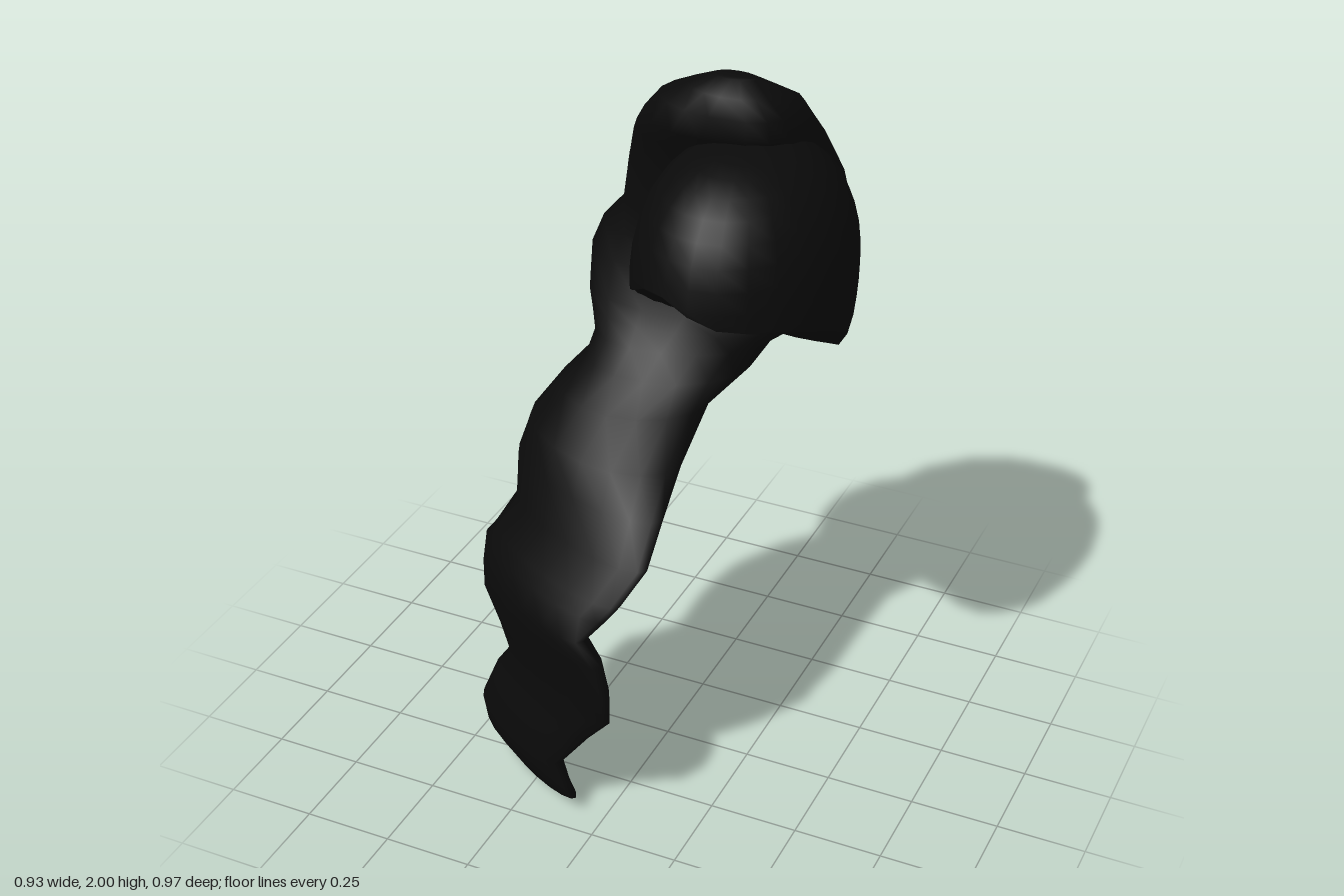
import * as THREE from 'three';
import { mergeVertices } from 'three/addons/utils/BufferGeometryUtils.js';

const SIDES = 16;

// Horizontal cross-sections, top to bottom:
// y, left x, right x, front z, back z, skew, roundness of the right half (1 = elliptical)
const gatheredHair = [
  [2.0, 0.05, 0.17, -0.14, -0.2, 0, 1],
  [1.97, -0.02, 0.22, -0.09, -0.25, 0, 0.8],
  [1.93, -0.1, 0.275, -0.05, -0.31, 0, 0.65],
  [1.86, -0.16, 0.28, -0.06, -0.38, -0.1, 0.65],
  [1.8, -0.2, 0.29, -0.11, -0.43, -0.2, 0.75],
  [1.68, -0.24, 0.34, -0.16, -0.47, -0.25, 0.9],
  [1.55, -0.26, 0.37, -0.17, -0.485, -0.3, 1],
  [1.48, -0.32, 0.38, -0.17, -0.48, -0.3, 1],
  [1.4, -0.35, 0.37, -0.16, -0.46, -0.3, 1],
  [1.3, -0.34, 0.32, -0.12, -0.425, -0.3, 1],
  [1.26, -0.315, 0.26, -0.09, -0.405, -0.3, 1],
];

// Wavy tail sweeping down and forward
const wavyTail = [
  [1.21, -0.29, 0.185, -0.06, -0.38, -0.3, 1],
  [1.15, -0.3, 0.15, 0.0, -0.34, -0.2, 1],
  [1.08, -0.36, 0.08, 0.09, -0.28, 0.05, 1],
  [0.99, -0.42, 0.085, 0.21, -0.14, 0.4, 1],
  [0.91, -0.42, 0.1, 0.29, 0.02, 0.75, 1],
  [0.81, -0.39, 0.1, 0.37, 0.12, 0.95, 1],
  [0.72, -0.44, 0.05, 0.43, 0.15, 1.0, 1],
  [0.68, -0.47, 0.02, 0.45, 0.16, 1.05, 1],
  [0.62, -0.47, -0.03, 0.48, 0.175, 1.05, 1],
  [0.55, -0.46, 0.02, 0.48, 0.2, 1.05, 1],
  [0.46, -0.4, 0.045, 0.485, 0.23, 1.05, 1],
  [0.37, -0.365, 0.04, 0.475, 0.24, 1.05, 1],
  [0.29, -0.42, -0.03, 0.465, 0.22, 1.05, 1],
  [0.17, -0.47, -0.12, 0.455, 0.22, 1.05, 1],
  [0.09, -0.46, -0.1, 0.445, 0.22, 1.1, 1],
  [0.026, -0.39, -0.08, 0.44, 0.22, 1.2, 1],
];

const power = (v, e) => Math.sign(v) * Math.abs(v) ** e;

// Joins skewed rings into a closed, smooth surface; the last ring is tilted
function loft(sections, endTilt) {
  const pos = [], index = [];
  sections.forEach(([y, xl, xr, zf, zb, skew, round], i) => {
    const tilt = i === sections.length - 1 ? endTilt : 0;
    for (let j = 0; j < SIDES; j++) {
      const t = (j / SIDES) * Math.PI * 2;
      const e = Math.cos(t) > 0 ? round : 1;
      pos.push(
        (xl + xr) / 2 + ((xr - xl) / 2) * power(Math.cos(t), e),
        y + tilt * Math.cos(t),
        (zf + zb) / 2 + ((zf - zb) / 2) * power(Math.sin(t + skew), e)
      );
    }
  });
  const last = (sections.length - 1) * SIDES;
  for (let i = 0; i < sections.length - 1; i++) {
    for (let j = 0; j < SIDES; j++) {
      const k = (j + 1) % SIDES;
      const a = i * SIDES + j, b = i * SIDES + k;
      index.push(a, b, a + SIDES, b, b + SIDES, a + SIDES);
    }
  }
  for (let j = 1; j < SIDES - 1; j++) {
    index.push(0, j + 1, j, last, last + j, last + j + 1);
  }
  const g = new THREE.BufferGeometry();
  g.setAttribute('position', new THREE.Float32BufferAttribute(pos, 3));
  g.setIndex(index);
  g.computeVertexNormals();
  return g;
}

// Height of the underside of the front lobe: falls to the back, notched at the front
function rimHeight(x, z) {
  const map = THREE.MathUtils.mapLinear;
  const notch = z > 0 ? Math.max(0, 0.08 - 0.5 * Math.abs(x - 0.07)) : 0;
  if (z > 0.06) return map(z, 0.06, 0.28, 1.46, 1.52) + notch;
  if (z > -0.04) return map(z, -0.04, 0.06, 1.39, 1.46) + notch;
  return Math.max(1.26, map(z, -0.22, -0.04, 1.26, 1.39));
}

// Full, rounded lobe cut off along its underside
function lobe() {
  let g = new THREE.SphereGeometry(1, 24, 20);
  g.deleteAttribute('uv');
  g.deleteAttribute('normal');
  g = mergeVertices(g);
  const p = g.attributes.position;
  for (let i = 0; i < p.count; i++) {
    const r = Math.hypot(p.getX(i), p.getZ(i));
    const swell = (Math.abs(p.getY(i)) ** 2.4 + r ** 2.4) ** (-1 / 2.4);
    const x = 0.18 + 0.283 * swell * p.getX(i);
    const z = -0.09 + 0.37 * swell * p.getZ(i);
    const y = 1.5 + 0.36 * swell * p.getY(i);
    p.setXYZ(i, x, Math.max(y, rimHeight(x, z)), z);
  }
  g.computeVertexNormals();
  return g;
}

export function createModel() {
  const black = new THREE.MeshStandardMaterial({ color: 0x0a0a0a });
  black.name = 'black hair';
  const group = new THREE.Group();
  group.name = 'sweptHair';
  const add = (name, geometry) => {
    const mesh = new THREE.Mesh(geometry, black);
    mesh.name = name;
    group.add(mesh);
  };
  add('frontLobe', lobe());
  add('backHairAndTail', loft([...gatheredHair, ...wavyTail], 0.026));
  return group;
}
